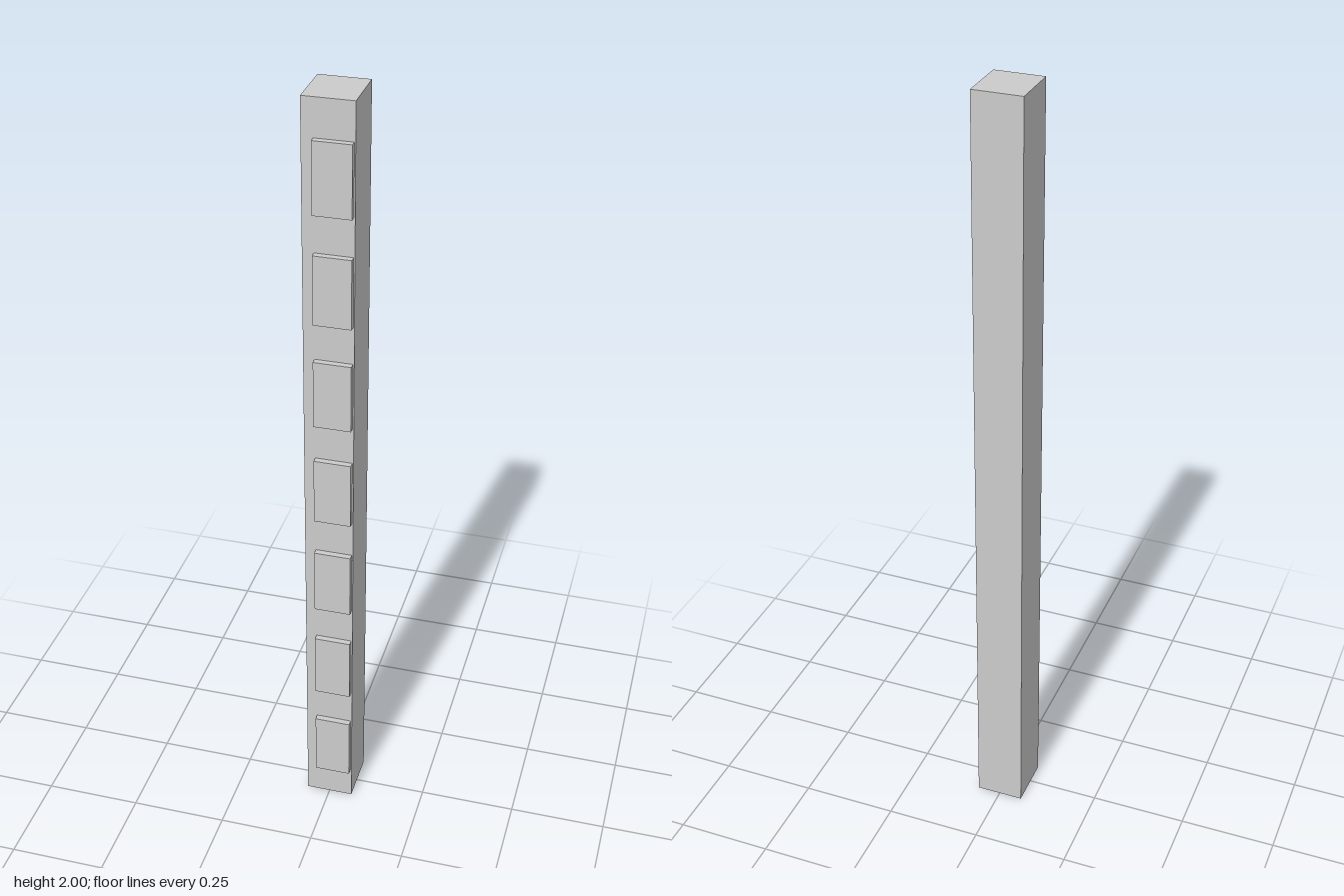
import * as THREE from 'three';

export function createModel() {
  const group = new THREE.Group();
  const material = new THREE.MeshStandardMaterial({ color: 0xcccccc, flatShading: true });

  // Adds a box given by its lower and upper corners
  function addBox(name, [x0, y0, z0], [x1, y1, z1]) {
    const mesh = new THREE.Mesh(new THREE.BoxGeometry(x1 - x0, y1 - y0, z1 - z0), material);
    mesh.position.set((x0 + x1) / 2, (y0 + y1) / 2, (z0 + z1) / 2);
    mesh.name = name;
    group.add(mesh);
  }

  // Tall square column
  addBox('column', [-0.062, 0, -0.076], [0.062, 2, 0.06]);

  // Raised panels up the front, set towards the left edge
  const count = 7, height = 0.176, first = 0.09, pitch = 0.2735;
  for (let i = 0; i < count; i++) {
    const y = first + i * pitch;
    addBox(`frontPanel${i + 1}`, [-0.034, y, 0.055], [0.059, y + height, 0.076]);
  }

  return group;
}
